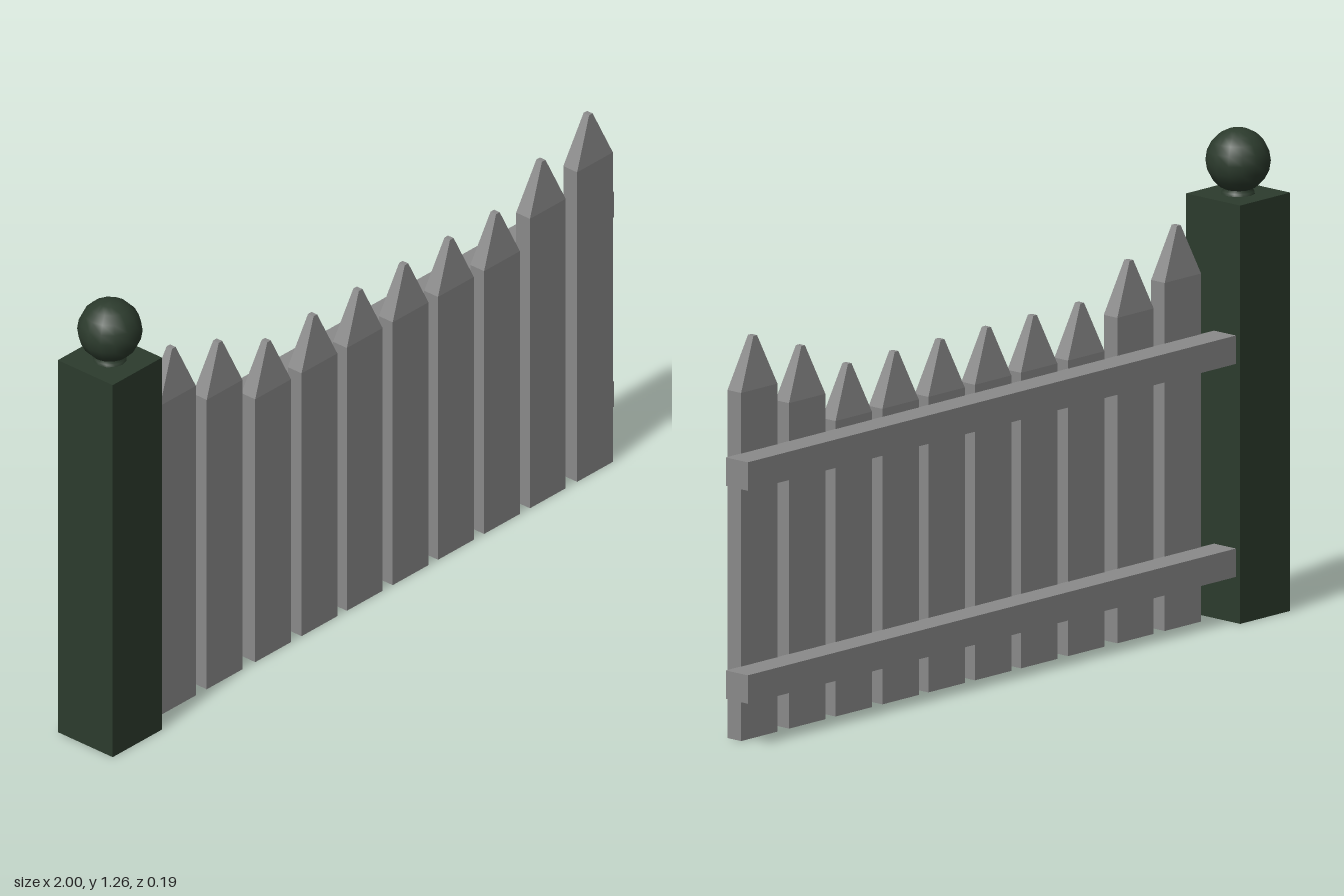
import * as THREE from 'three';

export function createModel() {
  const model = new THREE.Group();
  model.name = 'picketFence';
  const greyWood = new THREE.MeshStandardMaterial({ color: 0x8a8a8a });
  greyWood.name = 'greyWood';
  const darkGreen = new THREE.MeshStandardMaterial({ color: 0x2c3b2d });
  darkGreen.name = 'darkGreen';

  function add(name, geometry, material, x, y, z) {
    const mesh = new THREE.Mesh(geometry, material);
    mesh.name = name;
    mesh.position.set(x, y, z);
    model.add(mesh);
    return mesh;
  }

  // Board with a hipped point: the top ring of a two-tier box is drawn in
  function picketGeometry(width, depth, shoulder, tip) {
    const box = new THREE.BoxGeometry(width, 1, depth, 1, 2, 1);
    const p = box.attributes.position;
    for (let i = 0; i < p.count; i++) {
      const y = p.getY(i);
      if (y > 0.25) {
        p.setXYZ(i, p.getX(i) * 0.1, tip, p.getZ(i) * 0.4);
      } else {
        p.setY(i, y < -0.25 ? 0 : shoulder);
      }
    }
    const flat = box.toNonIndexed();
    flat.computeVertexNormals();
    return flat;
  }

  // Pickets dip from the tall ends to a level middle
  const centres = [-0.697, -0.521, -0.338, -0.163, 0.008, 0.181, 0.352, 0.526, 0.699, 0.877];
  centres.forEach((x, i) => {
    const fromEnd = Math.min(i, centres.length - 1 - i);
    const tip = [1.042, 0.983, 0.905][Math.min(fromEnd, 2)];
    add('picket' + (i + 1), picketGeometry(0.135, 0.047, tip - 0.135, tip), greyWood, x, 0, 0.019);
  });

  // Two rails behind the pickets, running into the post
  [['lowerRail', 0.157], ['upperRail', 0.712]].forEach(([name, y]) => {
    add(name, new THREE.BoxGeometry(1.84, 0.074, 0.076), greyWood, 0.08, y, -0.041);
  });

  // Post
  const postX = -0.907;
  add('post', new THREE.BoxGeometry(0.186, 1.09, 0.187), darkGreen, postX, 0.545, 0);

  // Finial: short flared neck and ball
  const neck = [[0.044, 0], [0.042, 0.008], [0.036, 0.014], [0.036, 0.03]]
    .map(([r, y]) => new THREE.Vector2(r, y));
  add('finialNeck', new THREE.LatheGeometry(neck, 12), darkGreen, postX, 1.088, 0);
  add('finialBall', new THREE.SphereGeometry(0.083, 14, 10), darkGreen, postX, 1.177, 0);

  return model;
}
